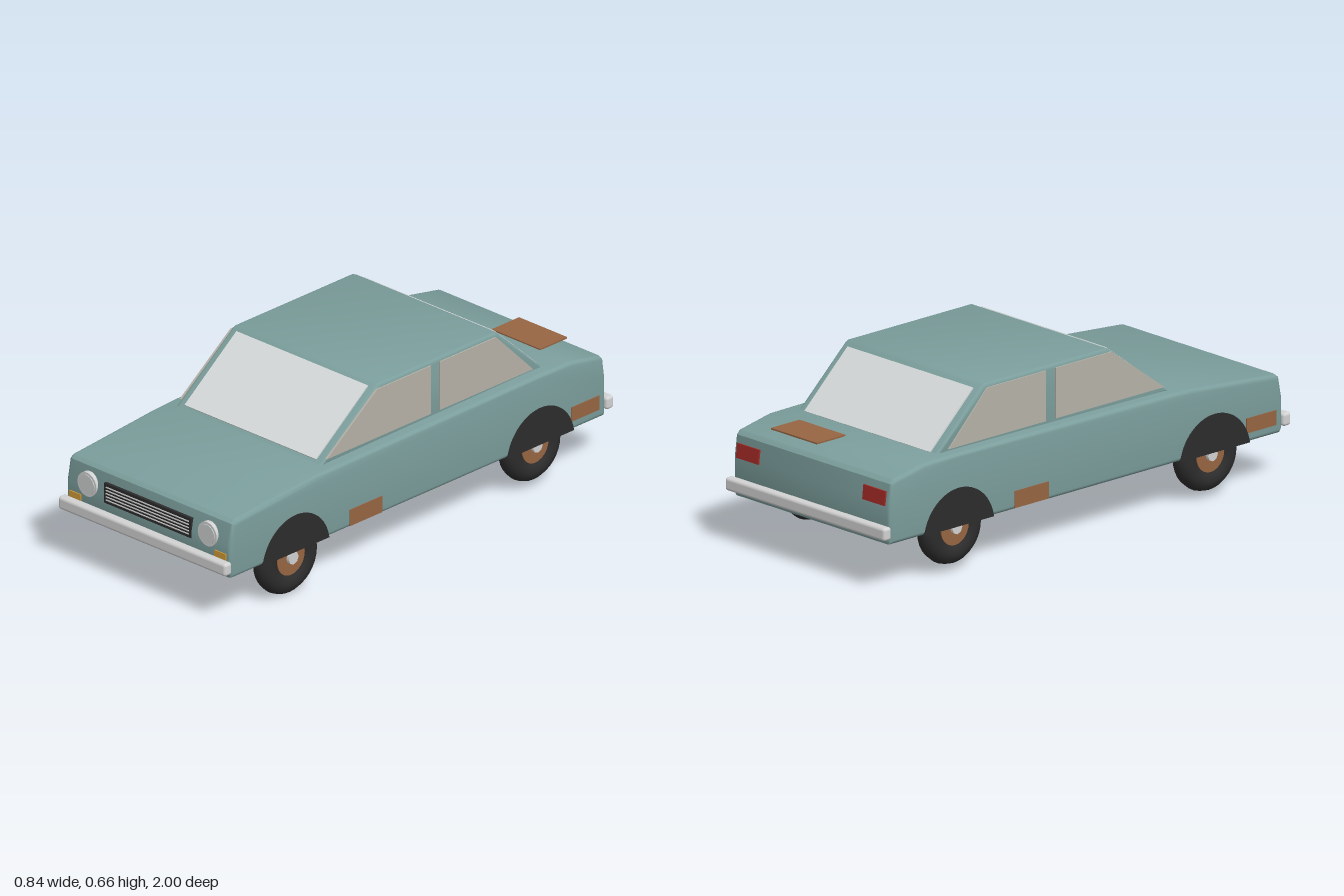
import * as THREE from 'three';
import { toCreasedNormals } from 'three/addons/utils/BufferGeometryUtils.js';
import { RoundedBoxGeometry } from 'three/addons/geometries/RoundedBoxGeometry.js';

const paint = (name, color) => {
  const m = new THREE.MeshStandardMaterial({ color });
  m.name = name;
  return m;
};

export function createModel() {
  const car = new THREE.Group();
  car.name = 'car';
  const teal = paint('tealPaint', 0x7b9e9c);
  const glass = paint('paleGlass', 0xd8dcdc);
  const sideGlass = paint('sideGlass', 0xb6b2a8);
  const chrome = paint('chrome', 0xd2d2d2);
  const lens = paint('headlightLens', 0xccd0d0);
  const black = paint('blackRubber', 0x2c2c2c);
  const rust = paint('rust', 0x976543);
  const red = paint('redLens', 0xa02a24);
  const amber = paint('amberLens', 0xd09a35);

  const add = (name, geo, mat, x = 0, y = 0, z = 0, parent = car) => {
    const m = new THREE.Mesh(geo, mat);
    m.name = name;
    m.position.set(x, y, z);
    parent.add(m);
    return m;
  };
  const box = (name, w, h, d, mat, x, y, z) => add(name, new THREE.BoxGeometry(w, h, d), mat, x, y, z);

  // Side outline given as [z, y] points, extruded across x and centred
  const across = (shape, width, bevel = 0) => {
    const geo = new THREE.ExtrudeGeometry(shape, {
      depth: width - 2 * bevel, bevelEnabled: bevel > 0, bevelSize: bevel,
      bevelThickness: bevel, bevelOffset: -bevel, bevelSegments: 3, curveSegments: 20,
    });
    geo.translate(0, 0, -(width - 2 * bevel) / 2);
    geo.rotateY(-Math.PI / 2);
    return toCreasedNormals(geo, 0.6);
  };
  const outline = (pts) => new THREE.Shape(pts.map((p) => new THREE.Vector2(p[0], p[1])));

  // Lower body and cabin
  add('body', across(outline([
    [-0.96, 0.178], [0.955, 0.178], [0.965, 0.195], [0.965, 0.31], [0.95, 0.39], [0.935, 0.402],
    [0.52, 0.437], [0.4, 0.442], [-0.62, 0.451], [-0.79, 0.449], [-0.94, 0.42], [-0.955, 0.405],
    [-0.965, 0.33], [-0.965, 0.19],
  ]), 0.82, 0.016), teal);
  add('cabin', across(outline([
    [-0.7, 0.437], [0.452, 0.437], [0.165, 0.655], [0.15, 0.662], [-0.45, 0.662], [-0.465, 0.655],
  ]), 0.724, 0.014), teal);

  // Sloping front and rear glass
  const slopedGlass = (name, z0, y0, z1, y1) => {
    const g = box(name, 0.655, Math.hypot(z1 - z0, y1 - y0), 0.008, glass, 0, (y0 + y1) / 2, (z0 + z1) / 2);
    g.rotation.x = Math.atan2(z1 - z0, y1 - y0);
  };
  slopedGlass('windscreen', 0.439, 0.449, 0.172, 0.651);
  slopedGlass('rearWindow', -0.69, 0.449, -0.478, 0.645);

  const arch = new THREE.Shape();
  const start = Math.asin(0.028 / 0.172);
  arch.absarc(0, 0, 0.172, start, Math.PI - start);

  // One wheel: tyre, rim and an outer hub cap
  const wheel = (name, side, y, z, radius) => {
    const g = new THREE.Group();
    g.name = name;
    g.position.set(side * 0.357, y, z);
    g.scale.set(1, radius / 0.147, radius / 0.147);
    car.add(g);
    add('tyre', new THREE.TorusGeometry(0.103, 0.044, 12, 32).rotateY(Math.PI / 2), black, 0, 0, 0, g);
    add('rim', new THREE.CylinderGeometry(0.07, 0.07, 0.062, 24).rotateZ(Math.PI / 2), rust, 0, 0, 0, g);
    add('hubCap', new THREE.CylinderGeometry(0.025, 0.025, 0.02, 8).rotateZ(Math.PI / 2), chrome, side * 0.034, 0, 0, g);
  };
  wheel('frontLeftWheel', 1, 0.148, 0.63, 0.147);
  wheel('frontRightWheel', -1, 0.165, 0.63, 0.142);
  wheel('rearLeftWheel', 1, 0.166, -0.625, 0.142);
  wheel('rearRightWheel', -1, 0.168, -0.625, 0.142);

  for (const s of [1, -1]) {
    // Side windows, leaving the door pillar between them
    add('frontSideWindow', across(outline([
      [-0.11, 0.458], [0.425, 0.458], [0.165, 0.648], [-0.11, 0.648],
    ]), 0.008), sideGlass, s * 0.363);
    add('rearSideWindow', across(outline([
      [-0.635, 0.458], [-0.157, 0.458], [-0.157, 0.648], [-0.445, 0.648],
    ]), 0.008), sideGlass, s * 0.363);

    // Dark wheel arches
    for (const z of [0.63, -0.627]) add('wheelArch', across(arch, 0.008), black, s * 0.41, 0.15, z);

    // Rust patches, swapped end for end on the other side
    box('sillRust', 0.008, 0.064, 0.168, rust, s * 0.409, 0.217, s * 0.27);
    box('wingRust', 0.008, 0.056, 0.145, rust, s * 0.409, 0.242, s * -0.857);

    // Lamps
    add('headlightRim', new THREE.CylinderGeometry(0.047, 0.047, 0.022, 28).rotateX(Math.PI / 2), chrome, s * 0.3, 0.325, 0.96);
    add('headlightLens', new THREE.CylinderGeometry(0.038, 0.038, 0.008, 28).rotateX(Math.PI / 2), lens, s * 0.3, 0.325, 0.97);
    box('indicator', 0.057, 0.024, 0.009, amber, s * 0.362, 0.261, 0.965);
    const tail = box('tailLight', 0.115, 0.054, 0.009, red, s * 0.33, 0.35, -0.965);
    tail.rotation.x = 0.1;

    // Front and rear bumpers
    add(s > 0 ? 'frontBumper' : 'rearBumper', new RoundedBoxGeometry(0.836, 0.05, 0.038, 3, 0.012), chrome, 0, 0.225, s * 0.981);
  }

  // Grille with five bright bars
  box('grille', 0.434, 0.078, 0.016, black, 0, 0.319, 0.96);
  for (let i = 0; i < 5; i++) box('grilleBar', 0.412, 0.004, 0.006, chrome, 0, 0.294 + i * 0.0125, 0.968);

  // Rust patch on the boot lid
  box('bootRust', 0.24, 0.006, 0.14, rust, 0.14, 0.451, -0.85);

  return car;
}
